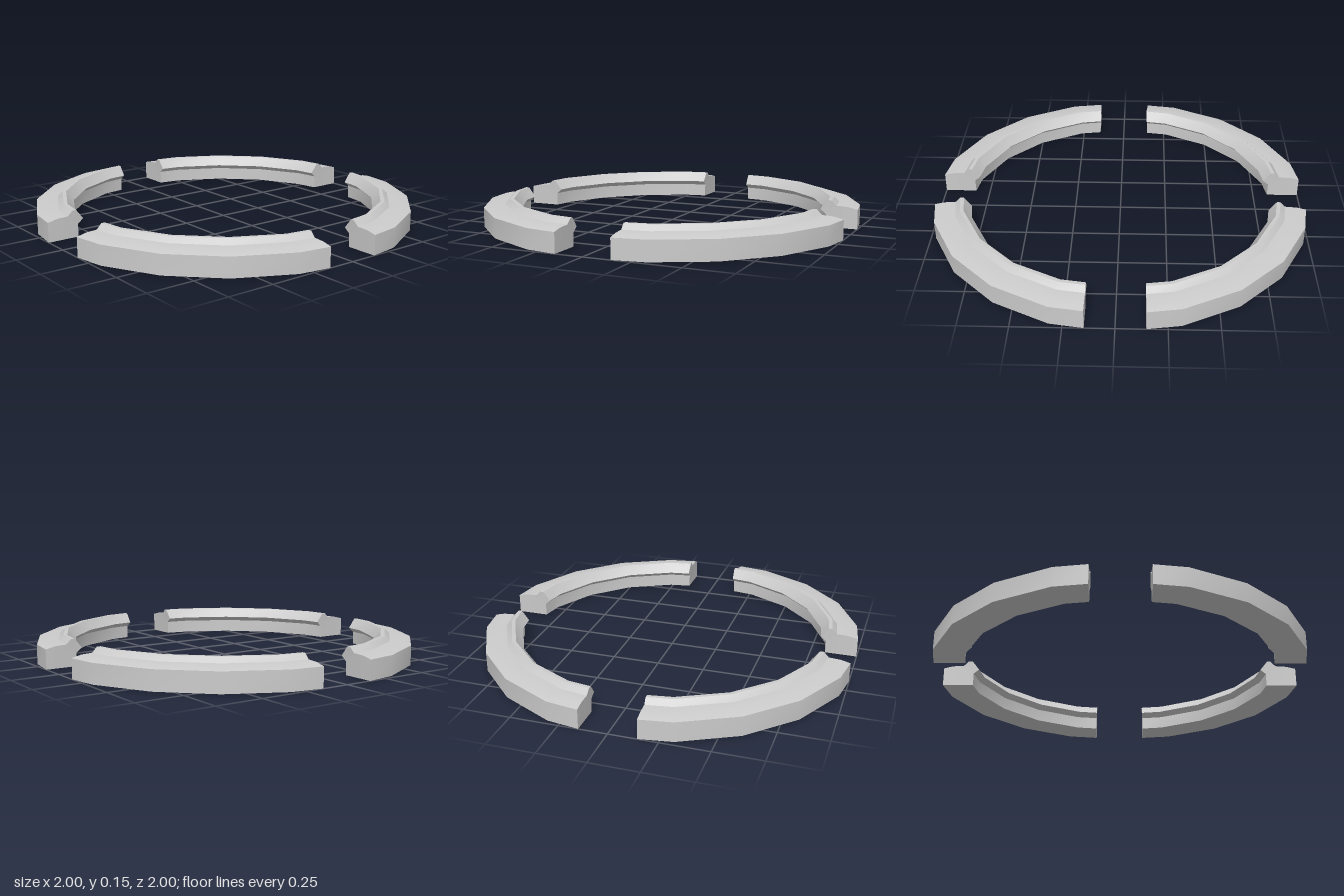
import * as THREE from 'three';
import { toCreasedNormals } from 'three/addons/utils/BufferGeometryUtils.js';

// Cross-section: [corner radius, height, half width of the gap at the ends]
const PROFILE = [
  [1.023, 0, 0.147],
  [1.023, 0.104, 0.147],
  [0.972, 0.116, 0.146],
  [0.91, 0.119, 0.144],
  [0.883, 0.146, 0.142],
  [0.863, 0.146, 0.142],
  [0.823, 0.095, 0.143],
  [0.853, 0.07, 0.145],
  [0.853, 0, 0.147],
];
const STEP = Math.PI / 10; // the ring is a 20-sided polygon

// One quarter of the ring, cut parallel to the axes at both ends
function segmentGeometry() {
  const n = PROFILE.length;
  const sections = [];
  const endPoint = ([r, y, gap]) => {
    const t = gap / (r * Math.sin(STEP));
    return [r * (1 - t * (1 - Math.cos(STEP))), y, gap];
  };
  sections.push(PROFILE.map(endPoint));
  for (let i = 1; i <= 4; i++) {
    sections.push(PROFILE.map(([r, y]) => [r * Math.cos(i * STEP), y, r * Math.sin(i * STEP)]));
  }
  sections.push(PROFILE.map(endPoint).map(([x, y, z]) => [z, y, x]));

  const positions = sections.flat(2);
  const index = [];
  for (let s = 0; s < sections.length - 1; s++) {
    for (let j = 0; j < n; j++) {
      const a = s * n + j, b = s * n + (j + 1) % n;
      index.push(a, b, a + n, b, b + n, a + n);
    }
  }

  // End caps, triangulated from the profile outline
  const outline = PROFILE.map(([r, y]) => new THREE.Vector2(r, y));
  const last = (sections.length - 1) * n;
  for (const [a, b, c] of THREE.ShapeUtils.triangulateShape(outline, [])) {
    index.push(a, b, c, last + a, last + c, last + b);
  }

  const geometry = new THREE.BufferGeometry();
  geometry.setAttribute('position', new THREE.Float32BufferAttribute(positions, 3));
  geometry.setIndex(index);
  return toCreasedNormals(geometry, Math.PI / 6);
}

export function createModel() {
  const model = new THREE.Group();
  model.name = 'segmentedRing';
  const material = new THREE.MeshStandardMaterial({ color: 0xcccccc, side: THREE.DoubleSide });
  const geometry = segmentGeometry();
  // Four equal segments around the centre
  ['frontLeft', 'backLeft', 'backRight', 'frontRight'].forEach((place, i) => {
    const segment = new THREE.Mesh(geometry, material);
    segment.name = place + 'Segment';
    segment.rotation.y = i * Math.PI / 2;
    model.add(segment);
  });
  return model;
}
